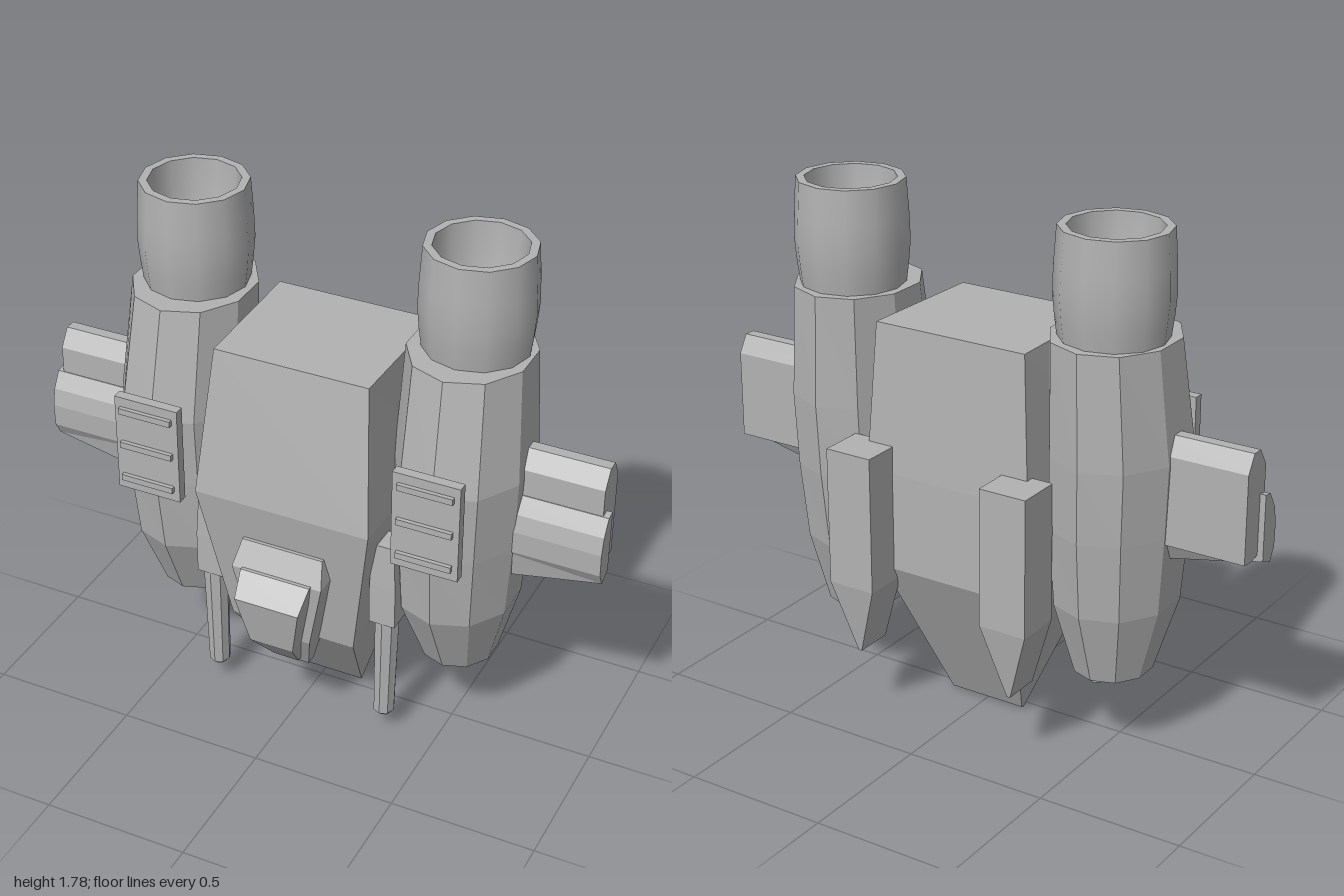
import * as THREE from 'three';

const hull = new THREE.MeshStandardMaterial({ color: 0xb2b2b2, side: THREE.DoubleSide });
hull.name = 'hullGrey';

// Skin a list of equal-length corner loops, cap both ends, give flat facets.
function loft(loops) {
  const tris = [];
  const n = loops[0].length;
  for (let i = 0; i < loops.length - 1; i++) {
    for (let j = 0; j < n; j++) {
      const k = (j + 1) % n;
      const a = loops[i][j], b = loops[i][k], c = loops[i + 1][k], d = loops[i + 1][j];
      tris.push([a, b, c], [a, c, d]);
    }
  }
  const first = loops[0], last = loops[loops.length - 1];
  for (let j = 1; j < n - 1; j++) {
    tris.push([first[0], first[j + 1], first[j]], [last[0], last[j], last[j + 1]]);
  }
  // signed volume tells whether the corners need reversing
  let volume = 0;
  for (const [a, b, c] of tris) {
    volume += new THREE.Vector3(...a).dot(new THREE.Vector3(...b).cross(new THREE.Vector3(...c)));
  }
  if (volume < 0) tris.forEach((t) => t.reverse());
  const g = new THREE.BufferGeometry();
  g.setAttribute('position', new THREE.Float32BufferAttribute(tris.flat(2), 3));
  g.computeVertexNormals();
  return g;
}

// Four-cornered section: half widths and heights may differ front to back.
const rect = (cx, yF, zF, hF, yB = yF, zB = 0, hB = hF) => [
  [cx - hF, yF, zF], [cx + hF, yF, zF], [cx + hB, yB, zB], [cx - hB, yB, zB],
];

// Oval horizontal section with a corner facing front.
const oval = (cx, y, cz, rx, rz, sides = 10) => Array.from({ length: sides }, (_, i) => {
  const a = (i / sides) * Math.PI * 2;
  return [cx + rx * Math.sin(a), y, cz + rz * Math.cos(a)];
});

export function createModel() {
  const model = new THREE.Group();
  model.name = 'spacecraft';
  const add = (parent, name, geometry, x = 0, y = 0, z = 0) => {
    const m = new THREE.Mesh(geometry, hull);
    m.name = name;
    m.position.set(x, y, z);
    parent.add(m);
    return m;
  };

  // Central fuselage, nose down
  add(model, 'fuselage', loft([
    rect(0, 1.375, 0.22, 0.27, 1.375, -0.26, 0.28),
    rect(0, 0.87, 0.3, 0.31, 0.87, -0.285, 0.31),
    rect(0, 0.35, 0.22, 0.225, 0.53, -0.285, 0.26),
    rect(0, 0.0, -0.035, 0.14, 0.005, -0.045, 0.14),
  ]));

  // Cockpit frame and the canopy standing out of it
  add(model, 'cockpitFrame', loft([
    rect(0, 0.725, 0.29, 0.145, 0.725, 0.2),
    rect(0, 0.64, 0.335, 0.162, 0.64, 0.2),
    rect(0, 0.39, 0.31, 0.108, 0.39, 0.2),
    rect(0, 0.245, 0.24, 0.07, 0.245, 0.2),
  ]));
  add(model, 'canopy', loft([
    rect(0, 0.645, 0.345, 0.125, 0.645, 0.25),
    rect(0, 0.57, 0.41, 0.115, 0.57, 0.25),
    rect(0, 0.39, 0.375, 0.078, 0.39, 0.22),
    rect(0, 0.265, 0.265, 0.045, 0.265, 0.21),
  ]));

  for (const s of [1, -1]) {
    const side = new THREE.Group();
    side.name = s > 0 ? 'leftSide' : 'rightSide';
    model.add(side);

    // Faceted engine nacelle
    add(side, 'nacelle', loft([
      oval(s * 0.49, 1.43, -0.067, 0.205, 0.235),
      oval(s * 0.5, 1.05, -0.03, 0.225, 0.276),
      oval(s * 0.495, 0.8, -0.03, 0.22, 0.265),
      oval(s * 0.49, 0.53, -0.03, 0.205, 0.235),
      oval(s * 0.495, 0.28, -0.05, 0.13, 0.143),
    ]));

    // Smooth hollow nozzle with a rounded core
    const lathe = (pts) => new THREE.LatheGeometry(pts.map((p) => new THREE.Vector2(...p)), 12);
    const nozzle = new THREE.Group();
    nozzle.name = 'nozzle';
    nozzle.position.set(s * 0.495, 0, -0.09);
    side.add(nozzle);
    add(nozzle, 'nozzleShell', lathe([[0.175, 1.42], [0.184, 1.49], [0.191, 1.57], [0.188, 1.66], [0.18, 1.78]]));
    add(nozzle, 'nozzleRim', lathe([[0.18, 1.78], [0.152, 1.78]]));
    add(nozzle, 'nozzleBore', lathe([[0.152, 1.78], [0.145, 1.68], [0.125, 1.56], [0.1, 1.48], [0.09, 1.46]]));
    add(nozzle, 'nozzleCore', lathe([[0.1, 1.46], [0.09, 1.51], [0.06, 1.55], [0.0, 1.57]]));

    // Stub wing: a rear pod and a lower front pod, each drooping at the root
    const wing = (name, tipX, section, droop) => {
      const at = (x, drop) => section.map(([z, y], i) => [s * x, y - (drop.includes(i) ? 0.08 : 0), z]);
      add(side, name, loft([at(0.6, droop), at(tipX, [])]));
    };
    wing('wingRear', 0.98, [[-0.03, 1.14], [-0.07, 1.14], [-0.105, 1.08], [-0.105, 0.78],
      [-0.06, 0.775], [0.01, 0.79], [0.01, 1.08]], [4]);
    wing('wingFront', 1.0, [[-0.02, 0.99], [0.012, 0.985], [0.045, 0.93], [0.058, 0.87],
      [0.055, 0.79], [0.03, 0.745], [-0.02, 0.765]], [5, 6]);

    // Rear fin ending in a wedge
    const fx = s * 0.295;
    add(side, 'rearFin', loft([
      rect(fx, 0.965, -0.25, 0.085, 0.965, -0.41),
      rect(fx, 0.49, -0.25, 0.085, 0.49, -0.41),
      rect(fx, 0.24, -0.235, 0.006, 0.24, -0.37),
    ]));

    // Gun: housing, tapering barrel, muzzle
    const gx = s * 0.32;
    add(side, 'gunHousing', loft([
      rect(gx, 0.78, 0.2, 0.036, 0.78, 0.11),
      rect(gx, 0.62, 0.205, 0.046, 0.62, 0.11),
      rect(gx, 0.47, 0.205, 0.046, 0.47, 0.11),
    ]));
    add(side, 'gunBarrel', loft([
      oval(gx, 0.47, 0.16, 0.043, 0.043, 8), oval(gx - s * 0.005, 0.085, 0.16, 0.036, 0.04, 8),
    ]));
    add(side, 'muzzle', new THREE.CylinderGeometry(0.025, 0.025, 0.02, 8).toNonIndexed(), gx - s * 0.005, 0.08, 0.16);

    // Ribbed front panel
    add(side, 'panel', new THREE.BoxGeometry(0.23, 0.35, 0.035), s * 0.495, 0.965, 0.263);
    for (const y of [1.095, 0.965, 0.837]) {
      add(side, 'panelRib', new THREE.BoxGeometry(0.19, 0.022, 0.02), s * 0.495, y, 0.285);
    }
  }
  return model;
}
